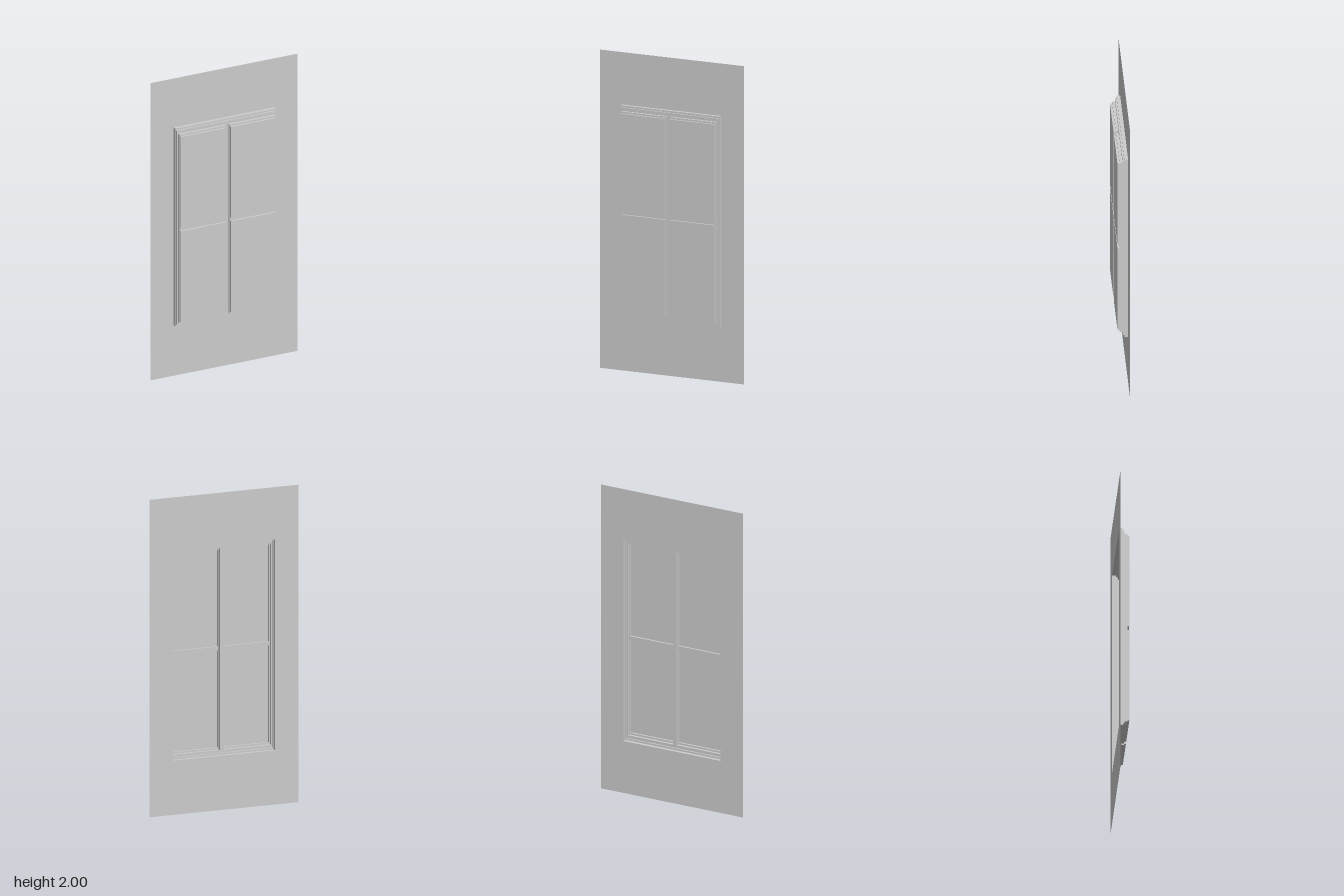
import * as THREE from 'three';

const material = new THREE.MeshStandardMaterial({ color: 0xcccccc, side: THREE.DoubleSide });

// Rectangle as counter-clockwise corners
const rect = (x0, x1, y0, y1) =>
  [[x0, y0], [x1, y0], [x1, y1], [x0, y1]].map(([x, y]) => new THREE.Vector2(x, y));

// Flat sheet facing +z, with rectangular openings
function sheet(name, outline, openings, z) {
  const shape = new THREE.Shape(outline);
  for (const o of openings) shape.holes.push(new THREE.Path(o));
  const mesh = new THREE.Mesh(new THREE.ShapeGeometry(shape), material);
  mesh.name = name;
  mesh.position.z = z;
  return mesh;
}

// Open band of four walls running from z0 forward to z1
function band(name, outline, z0, z1) {
  const points = [];
  outline.forEach((a, i) => {
    const b = outline[(i + 1) % outline.length];
    points.push(a.x, a.y, z0, b.x, b.y, z0, b.x, b.y, z1);
    points.push(a.x, a.y, z0, b.x, b.y, z1, a.x, a.y, z1);
  });
  const geometry = new THREE.BufferGeometry();
  geometry.setAttribute('position', new THREE.Float32BufferAttribute(points, 3));
  geometry.computeVertexNormals();
  const mesh = new THREE.Mesh(geometry, material);
  mesh.name = name;
  return mesh;
}

export function createModel() {
  const group = new THREE.Group();
  group.name = 'windowPanel';

  // Depths of the steps, from the wall forward to the panes
  const Z = [-0.032, -0.009, 0.001, 0.019, 0.032];

  const wall = rect(-0.5, 0.5, 0, 2);
  const outer = rect(-0.343, 0.343, 0.342, 1.671);
  const inner = rect(-0.338, 0.338, 0.353, 1.66);
  // One tall casement each side of the mullion, split into two panes
  const casements = [rect(-0.329, -0.013, 0.371, 1.639), rect(0.013, 0.329, 0.371, 1.639)];
  const panesOf = [[-0.323, -0.0175], [0.0175, 0.323]].map(([x0, x1]) =>
    [rect(x0, x1, 0.382, 0.994), rect(x0, x1, 1.018, 1.628)]);

  // Wall and stepped outer frame
  group.add(
    sheet('wall', wall, [outer], Z[0]),
    band('outerFrameSides', outer, Z[0], Z[1]),
    sheet('outerFrameFace', outer, [inner], Z[1]),
    band('innerFrameSides', inner, Z[1], Z[2]),
    sheet('innerFrameAndMullion', inner, casements, Z[2]),
  );

  // Casements and their raised panes
  casements.forEach((casement, i) => {
    const side = new THREE.Group();
    side.name = i ? 'leftCasement' : 'rightCasement';
    side.add(
      band('casementSides', casement, Z[2], Z[3]),
      sheet('casementFace', casement, panesOf[i], Z[3]),
    );
    panesOf[i].forEach((pane, j) => {
      const level = j ? 'upper' : 'lower';
      side.add(
        band(level + 'PaneSides', pane, Z[3], Z[4]),
        sheet(level + 'Pane', pane, [], Z[4]),
      );
    });
    group.add(side);
  });

  return group;
}
